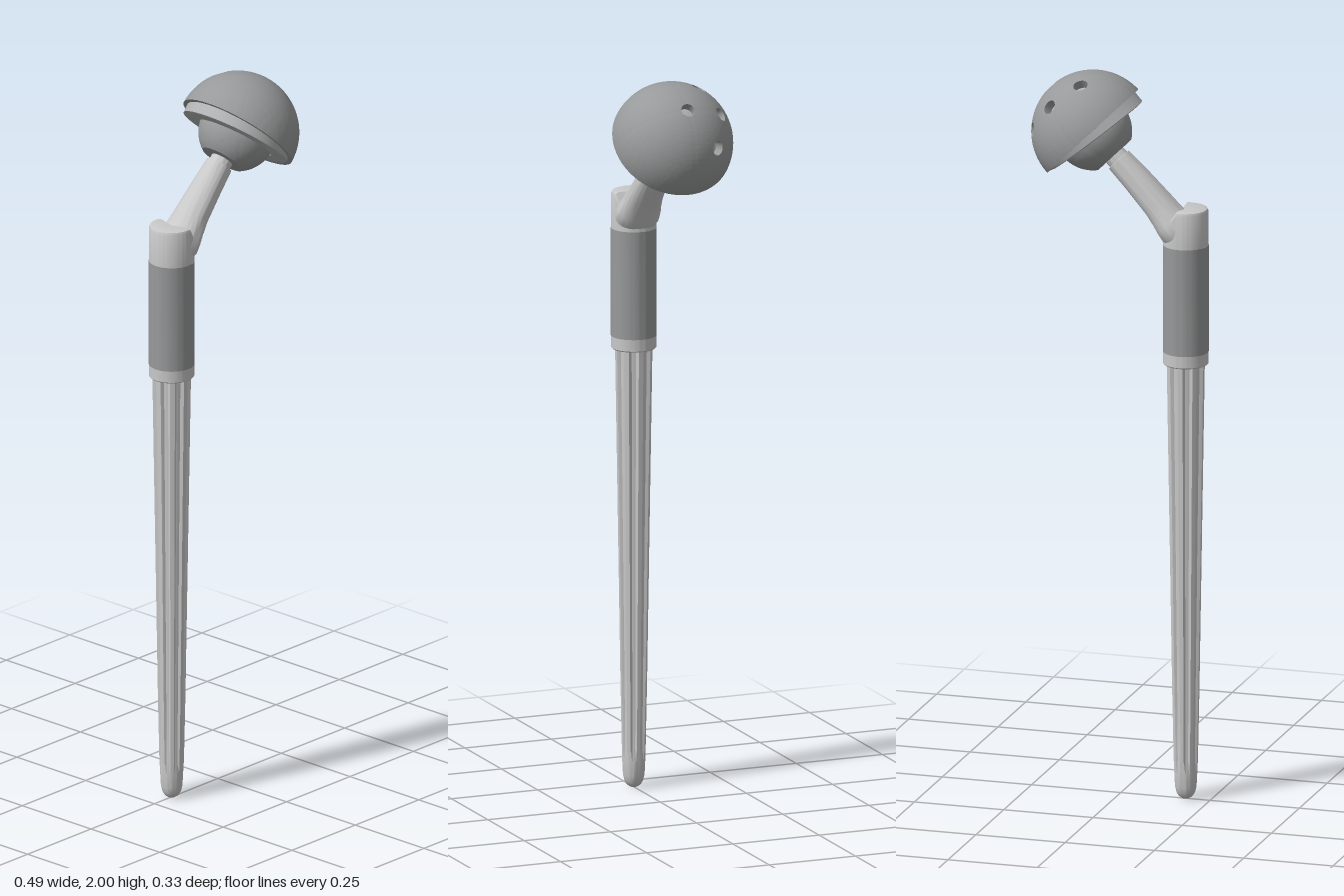
import * as THREE from 'three';
import { toCreasedNormals } from 'three/addons/utils/BufferGeometryUtils.js';

const CUP_R = 0.165;

// Closed loops of points stacked into a surface; point(row, angle) gives each corner
function loft(rows, cols, point, keep = () => true) {
  const pos = [], index = [];
  for (let i = 0; i < rows; i++) {
    for (let j = 0; j < cols; j++) {
      const p = point(i, (j / cols) * Math.PI * 2);
      pos.push(p.x, p.y, p.z);
    }
  }
  for (let i = 0; i < rows - 1; i++) {
    for (let j = 0; j < cols; j++) {
      const k = (j + 1) % cols;
      const a = i * cols + j, b = a + cols, c = (i + 1) * cols + k, d = i * cols + k;
      if (keep(a, b, c)) index.push(a, b, c);
      if (keep(a, c, d)) index.push(a, c, d);
    }
  }
  const g = new THREE.BufferGeometry();
  g.setAttribute('position', new THREE.Float32BufferAttribute(pos, 3));
  g.setIndex(index);
  return toCreasedNormals(g, 0.5);
}

const lathe = (points, segments = 64) =>
  new THREE.LatheGeometry(points.map(([x, y]) => new THREE.Vector2(x, y)), segments);

export function createModel() {
  const model = new THREE.Group();
  const brightMetal = new THREE.MeshStandardMaterial({ color: 0xc8c8c8 });
  brightMetal.name = 'bright metal';
  const greyMetal = new THREE.MeshStandardMaterial({ color: 0x98999a, side: THREE.DoubleSide });
  greyMetal.name = 'grey metal';
  const linerGrey = new THREE.MeshStandardMaterial({ color: 0xb0b1b2 });
  linerGrey.name = 'liner grey';

  const add = (parent, name, geometry, material) => {
    const mesh = new THREE.Mesh(geometry, material);
    mesh.name = name;
    parent.add(mesh);
    return mesh;
  };

  // Upright half: stem, sleeve and shoulder share one vertical axis
  const shaft = new THREE.Group();
  shaft.name = 'shaft';
  shaft.position.x = -0.182;
  model.add(shaft);

  // Fluted tapering stem with a rounded tip: [height, radius, groove depth]
  const stemRows = [
    [0, 0, 0], [0.002, 0.01, 0], [0.008, 0.019, 0], [0.018, 0.025, 0], [0.035, 0.029, 0],
    [0.075, 0.031, 0], [0.11, 0.033, 0.004], [0.3, 0.037, 0.006], [1.23, 0.052, 0.008],
  ];
  add(shaft, 'flutedStem', loft(stemRows.length, 96, (i, a) => {
    const [y, r, depth] = stemRows[i];
    const groove = THREE.MathUtils.clamp(0.5 - 1.2 * Math.cos(8 * a), 0, 1);
    const q = r - depth * groove;
    return new THREE.Vector3(q * Math.cos(a), y, q * Math.sin(a));
  }), brightMetal);

  // Sleeve and its lower band
  add(shaft, 'sleeveBand', toCreasedNormals(lathe([[0.04, 1.211], [0.058, 1.211], [0.061, 1.214], [0.061, 1.246]]), 0.5), brightMetal);
  add(shaft, 'sleeve', toCreasedNormals(lathe([[0.055, 1.246], [0.0615, 1.246], [0.0615, 1.543], [0.055, 1.543]]), 0.5), greyMetal);

  // Shoulder: short cylinder whose top falls away under the neck
  const shoulderRows = [[1.54, 1, 0], [1.636, 1, 1], [1.643, 0.95, 1], [1.646, 0.8, 1], [1.642, 0, 1]];
  add(shaft, 'shoulder', loft(shoulderRows.length, 64, (i, a) => {
    const [y, s, slope] = shoulderRows[i];
    const x = 0.061 * s * Math.cos(a);
    return new THREE.Vector3(x, y - slope * Math.max(0, x - 0.01) * 1.4, 0.061 * s * Math.sin(a));
  }), brightMetal);

  // Joint half: everything on the 45 degree axis, origin at the ball centre
  const joint = new THREE.Group();
  joint.name = 'joint';
  joint.position.set(0.078, 1.835, 0);
  joint.rotation.z = -Math.PI / 4;
  model.add(joint);

  // Neck: oval sections [distance, offset, half width, half depth]
  const neckRows = [
    [-0.385, 0.01, 0.045, 0.05], [-0.345, 0.01, 0.05, 0.063], [-0.32, 0.009, 0.047, 0.06],
    [-0.3, 0.007, 0.044, 0.056], [-0.26, 0.003, 0.041, 0.05], [-0.17, 0, 0.038, 0.043],
    [-0.103, 0, 0.036, 0.037], [-0.102, 0, 0.031, 0.031], [-0.07, 0, 0.03, 0.03],
  ];
  add(joint, 'neck', loft(neckRows.length, 48, (i, a) => {
    const [t, c, w, d] = neckRows[i];
    return new THREE.Vector3(c + w * Math.cos(a), t, d * Math.sin(a));
  }), brightMetal);

  // Ball head with a flat underside
  const ball = [[0.02, -0.086]];
  for (let i = 0; i <= 16; i++) {
    const a = THREE.MathUtils.lerp(-0.96, 0.4, i / 16);
    ball.push([0.105 * Math.cos(a), 0.105 * Math.sin(a)]);
  }
  add(joint, 'ballHead', toCreasedNormals(lathe(ball), 0.5), greyMetal);

  // Liner: inner dome with a rim that is deeper on the upper side
  const linerProfile = [[0.106, 0.03], [0.107, 0], [0.146, 0], [0.152, 0.002], [0.154, 0.006]];
  for (let i = 1; i <= 16; i++) {
    const a = (i / 16) * Math.PI / 2;
    linerProfile.push([0.14 * Math.cos(a), 0.14 * Math.sin(a)]);
  }
  const liner = lathe(linerProfile);
  const p = liner.attributes.position;
  for (let i = 0; i < p.count; i++) {
    if (p.getY(i) < 0.003) p.setY(i, p.getY(i) - 0.017 + 0.1 * p.getX(i));
  }
  add(joint, 'liner', toCreasedNormals(liner, 0.5), linerGrey);

  // Cup shell: hemisphere with four round screw holes
  const holeAngle = 0.12;
  const holes = [[0, 1, 0], [0, 0.124, -0.105], [-0.095, 0.112, -0.073], [0.095, 0.112, -0.073]]
    .map((h) => new THREE.Vector3(...h).normalize());
  const inside = [];
  const rows = 72;
  add(joint, 'cup', loft(rows, 128, (i, a) => {
    if (i === 0) {
      inside.push(false);
      return new THREE.Vector3(0.146 * Math.cos(a), 0, 0.146 * Math.sin(a));
    }
    const e = ((i - 1) / (rows - 2)) * Math.PI / 2;
    const v = new THREE.Vector3(Math.cos(e) * Math.cos(a), Math.sin(e), Math.cos(e) * Math.sin(a));
    const hole = holes.find((h) => h.angleTo(v) < holeAngle);
    inside.push(!!hole);
    // Corners within a hole slide out to its edge
    if (hole) {
      const out = v.clone().addScaledVector(hole, -v.dot(hole)).normalize();
      v.copy(hole).multiplyScalar(Math.cos(holeAngle)).addScaledVector(out, Math.sin(holeAngle));
    }
    return v.multiplyScalar(CUP_R);
  }, (a, b, c) => !(inside[a] && inside[b] && inside[c])), greyMetal);

  // Walls of the screw holes
  const wallR = CUP_R * Math.sin(holeAngle);
  for (const h of holes) {
    const wall = add(joint, 'screwHoleWall', new THREE.CylinderGeometry(wallR, wallR, 0.028, 32, 1, true), greyMetal);
    wall.position.copy(h).multiplyScalar(CUP_R * Math.cos(holeAngle) - 0.014);
    wall.quaternion.setFromUnitVectors(new THREE.Vector3(0, 1, 0), h);
  }

  return model;
}
